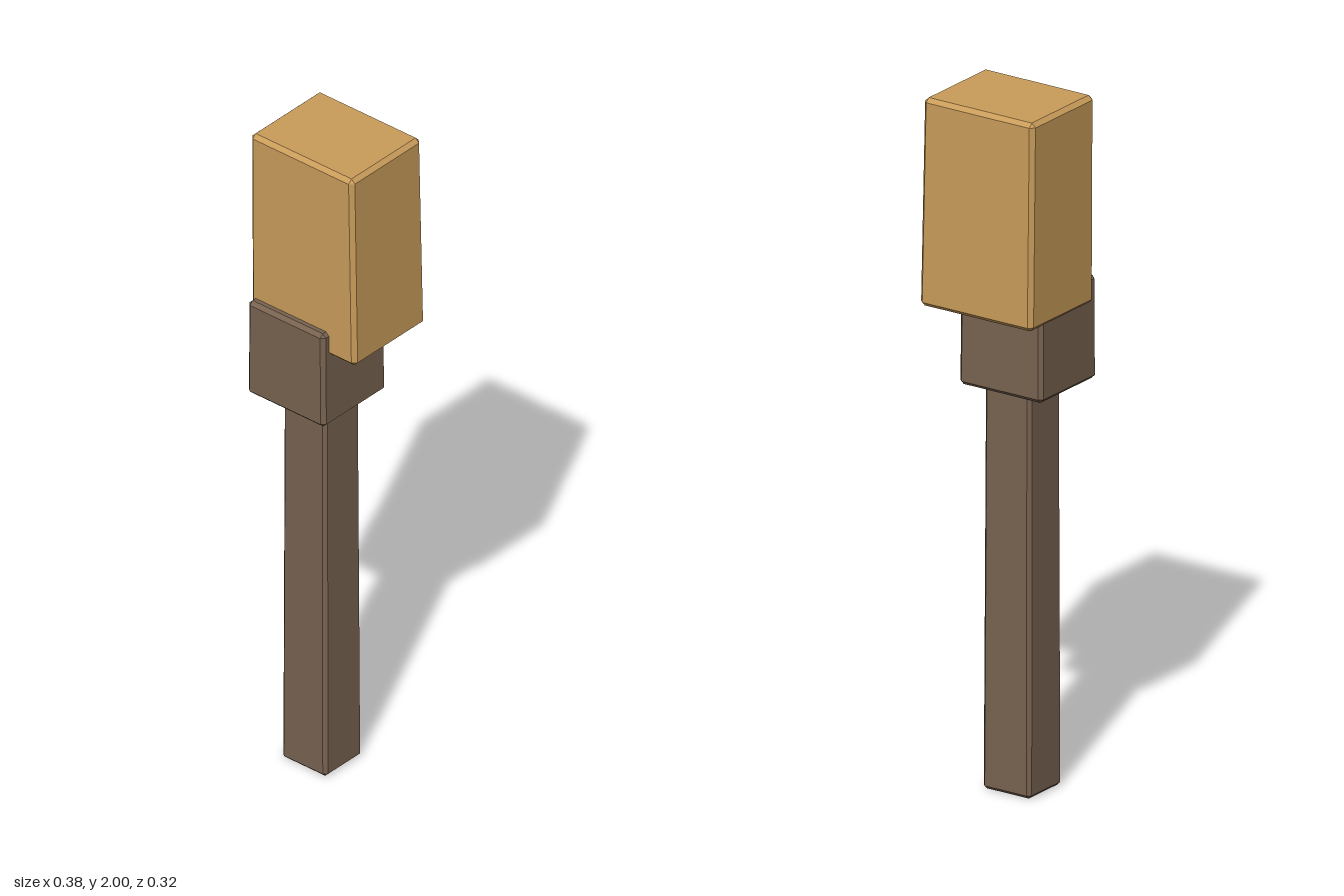
import * as THREE from 'three';
import { ConvexGeometry } from 'three/addons/geometries/ConvexGeometry.js';

// Chamfered, slightly tapered block. Each rect is [xMin, xMax, zMin, zMax].
function block(name, material, y0, y1, bottom, top, c) {
  const points = [];
  for (const i of [0, 1]) for (const j of [0, 1]) for (const k of [0, 1]) {
    const sx = i ? -1 : 1, sy = j ? -1 : 1, sz = k ? -1 : 1;
    const rect = j ? top : bottom;
    const x = rect[i], y = j ? y1 : y0, z = rect[2 + k];
    // Three points per corner, one on each adjoining face
    points.push(
      new THREE.Vector3(x, y + sy * c, z + sz * c),
      new THREE.Vector3(x + sx * c, y, z + sz * c),
      new THREE.Vector3(x + sx * c, y + sy * c, z)
    );
  }
  const mesh = new THREE.Mesh(new ConvexGeometry(points), material);
  mesh.name = name;
  return mesh;
}

export function createModel() {
  const group = new THREE.Group();
  group.name = 'mallet';

  const darkWood = new THREE.MeshStandardMaterial({ color: 0x786350 });
  darkWood.name = 'dark wood';
  const tanWood = new THREE.MeshStandardMaterial({ color: 0xc99c5a });
  tanWood.name = 'tan wood';

  group.add(
    // Long square handle, running up into the collar
    block('handle', darkWood, 0, 1.22, [-0.101, 0.058, -0.047, 0.106], [-0.099, 0.053, -0.043, 0.102], 0.01),
    // Offset collar that grips the underside of the head
    block('collar', darkWood, 1.175, 1.475, [-0.179, 0.097, -0.102, 0.159], [-0.177, 0.095, -0.1, 0.159], 0.011),
    // Large head
    block('head', tanWood, 1.4, 2, [-0.186, 0.187, -0.16, 0.135], [-0.188, 0.178, -0.154, 0.136], 0.012)
  );
  return group;
}
